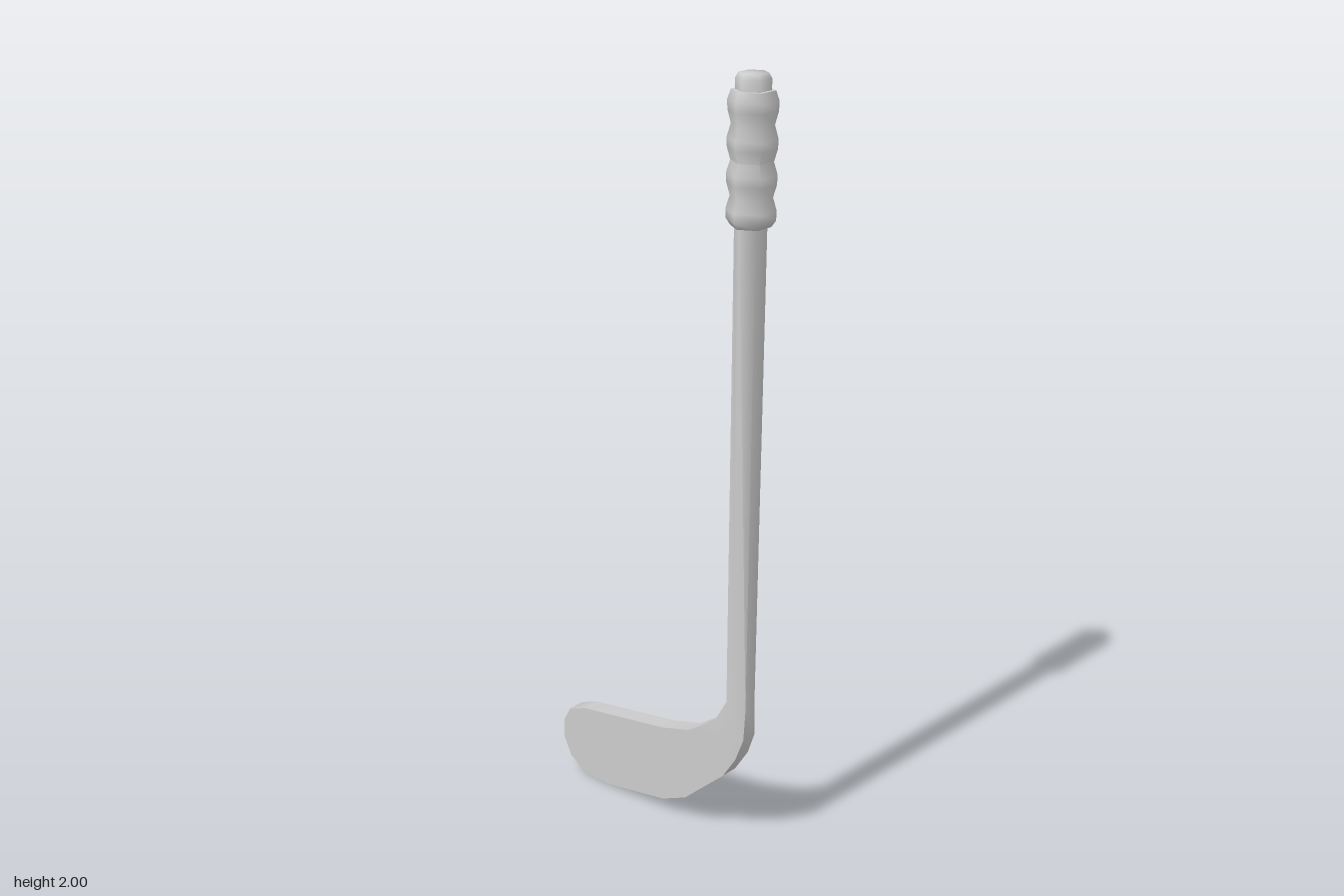
import * as THREE from 'three';
import { toCreasedNormals } from 'three/addons/utils/BufferGeometryUtils.js';

const material = new THREE.MeshStandardMaterial({ color: 0xcccccc });
const CREASE = THREE.MathUtils.degToRad(66);
const SHAFT_X = 0.283;

function addMesh(parent, name, geometry) {
  const mesh = new THREE.Mesh(toCreasedNormals(geometry, CREASE), material);
  mesh.name = name;
  parent.add(mesh);
  return mesh;
}

// Lofts six-sided sections: [heelX, heelY, soleX, soleY, half depth at ridge, half depth at edges]
function loft(sections) {
  const positions = [];
  const index = [];
  for (const [ux, uy, lx, ly, ridge, edge] of sections) {
    const mx = (ux + lx) / 2;
    const my = (uy + ly) / 2;
    positions.push(ux, uy, edge, mx, my, ridge, lx, ly, edge);
    positions.push(lx, ly, -edge, mx, my, -ridge, ux, uy, -edge);
  }
  for (let i = 0; i < sections.length - 1; i++) {
    for (let j = 0; j < 6; j++) {
      const a = i * 6 + j;
      const b = i * 6 + (j + 1) % 6;
      index.push(a, a + 6, b + 6, a, b + 6, b);
    }
  }
  // End caps
  const last = (sections.length - 1) * 6;
  for (let j = 1; j < 5; j++) {
    index.push(0, j, j + 1);
    index.push(last, last + j + 1, last + j);
  }
  const geometry = new THREE.BufferGeometry();
  geometry.setAttribute('position', new THREE.Float32BufferAttribute(positions, 3));
  geometry.setIndex(index);
  return geometry;
}

// Hexagonal turned part on the shaft axis, from [radius, y] pairs
function hexLathe(profile) {
  const points = profile.map(([r, y]) => new THREE.Vector2(r, y));
  return new THREE.LatheGeometry(points, 6).translate(SHAFT_X, 0, 0);
}

export function createModel() {
  const model = new THREE.Group();
  model.name = 'hockeyStick';

  // Shaft and blade: the hexagonal shaft flattens into the curved blade
  const T = 0.024;
  addMesh(model, 'shaftAndBlade', loft([
    [0.251, 1.70, 0.315, 1.70, 0.040, 0.020],
    [0.251, 0.43, 0.314, 0.43, 0.030, 0.017],
    [0.215, 0.36, 0.313, 0.345, 0.026, 0.022],
    [0.172, 0.33, 0.290, 0.28, T, T],
    [0.130, 0.30, 0.250, 0.215, T, T],
    [0.040, 0.27, 0.120, 0.09, T, T],
    [-0.05, 0.251, 0.040, 0.05, T, T],
    [-0.25, 0.21, -0.165, 0.005, T, T],
    [-0.31, 0.185, -0.25, 0, T, T],
    [-0.335, 0.14, -0.31, 0.035, T, T],
    [-0.335, 0.138, -0.335, 0.085, T, T],
  ]));

  // Grip with four finger ridges
  const grip = [[0, 1.66], [0.047, 1.66]];
  const ridges = [1.687, 1.768, 1.847, 1.93];
  ridges.forEach((y, i) => {
    grip.push([0.057, y - 0.012], [0.058, y + 0.010]);
    if (i < 3) grip.push([0.049, (y + ridges[i + 1]) / 2]);
  });
  grip.push([0.05, 1.963], [0, 1.963]);
  addMesh(model, 'grip', hexLathe(grip));

  // End knob
  addMesh(model, 'endKnob', hexLathe([
    [0, 1.95], [0.04, 1.95], [0.041, 1.988], [0.034, 2.0], [0, 2.0],
  ]));

  return model;
}
